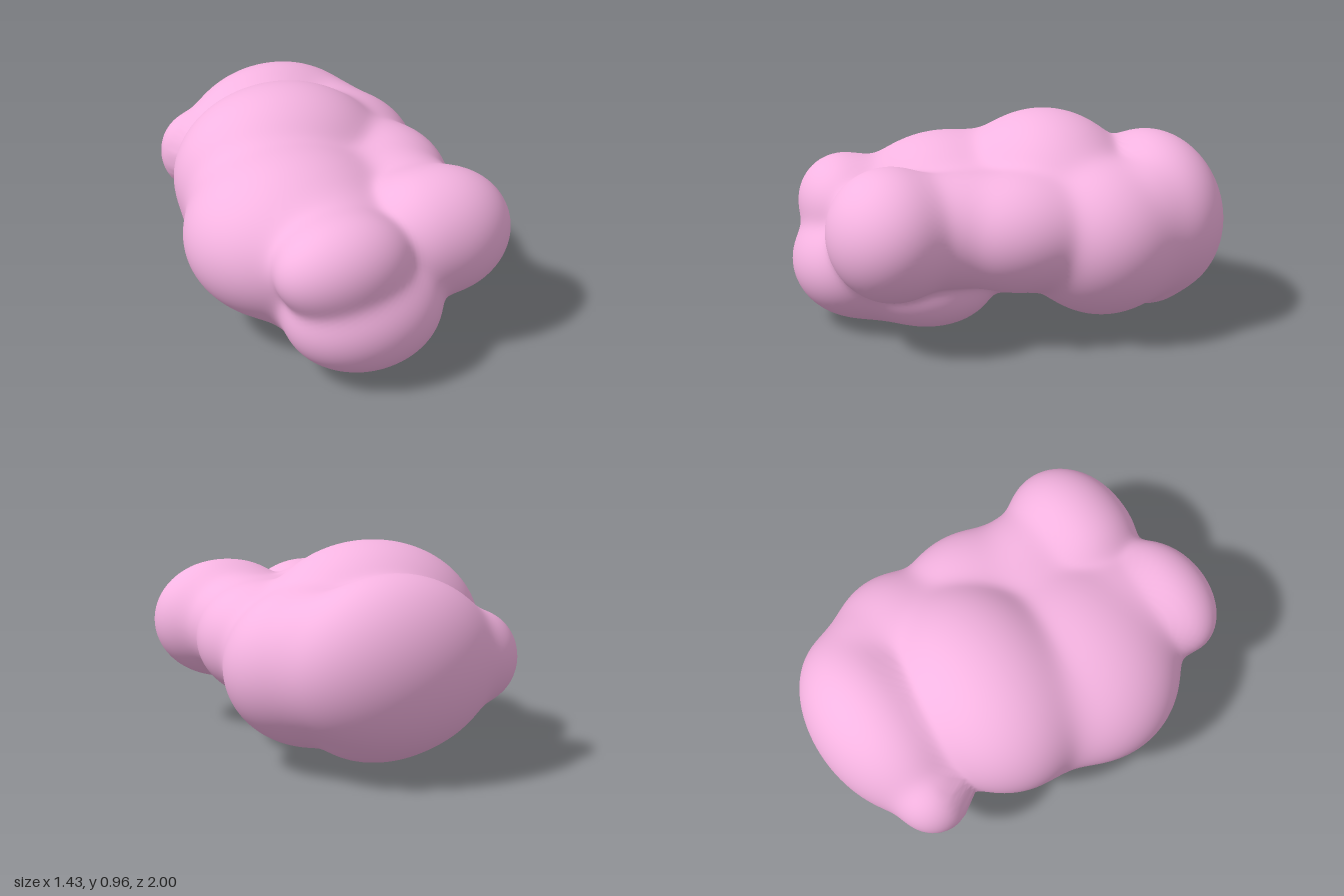
import * as THREE from 'three';
import { mergeVertices } from 'three/addons/utils/BufferGeometryUtils.js';

// Each lobe of the body: centre x, y, z, then radii x, y, z
const LOBES = {
  core: [0, 0.45, -0.1, 0.4, 0.32, 0.58],
  underside: [-0.17, 0.38, -0.12, 0.4, 0.255, 0.4],
  backLobe: [0.1, 0.49, -0.68, 0.485, 0.39, 0.32],
  backKnob: [-0.32, 0.49, -0.7, 0.18, 0.2, 0.17],
  backUnderRidge: [0.14, 0.21, -0.62, 0.26, 0.135, 0.17],
  backLeftFill: [0.35, 0.48, -0.55, 0.26, 0.3, 0.24],
  topLobe: [-0.07, 0.55, -0.21, 0.53, 0.42, 0.43],
  rightSideLobe: [-0.22, 0.47, 0.23, 0.5, 0.385, 0.47],
  rightSideBridge: [-0.25, 0.49, 0.0, 0.35, 0.34, 0.3],
  leftBackLobe: [0.3, 0.45, -0.36, 0.41, 0.355, 0.37],
  leftMiddleLobe: [0.35, 0.51, 0.02, 0.31, 0.265, 0.36],
  leftBridge: [0.3, 0.52, 0.32, 0.275, 0.245, 0.38],
  topValleyFill: [0.15, 0.54, 0.2, 0.33, 0.21, 0.35],
  frontLeftLobe: [0.31, 0.525, 0.6, 0.345, 0.29, 0.285],
  frontLeftFill: [0.19, 0.54, 0.58, 0.2, 0.235, 0.26],
  frontUpperLobe: [-0.225, 0.555, 0.73, 0.305, 0.22, 0.22],
  frontNeck: [-0.17, 0.53, 0.52, 0.32, 0.23, 0.25],
  frontLowerLobe: [-0.11, 0.3, 0.7, 0.36, 0.265, 0.3],
  belly: [-0.07, 0.26, 0.46, 0.36, 0.25, 0.4],
  bellySide: [0.12, 0.2, 0.38, 0.21, 0.17, 0.27],
};
const BLEND = 0.026;
const lobes = Object.values(LOBES);

// Approximate distance from a point to one ellipsoid
function lobeDistance(p, [cx, cy, cz, rx, ry, rz]) {
  const x = (p.x - cx) / rx, y = (p.y - cy) / ry, z = (p.z - cz) / rz;
  const k = Math.hypot(x, y, z);
  return k * (k - 1) / Math.max(Math.hypot(x / rx, y / ry, z / rz), 1e-6);
}

// Softly blended distance to all the lobes together
function bodyDistance(p) {
  const d = lobes.map((lobe) => lobeDistance(p, lobe));
  const nearest = Math.min(...d);
  const sum = d.reduce((s, v) => s + Math.exp((nearest - v) / BLEND), 0);
  return nearest - BLEND * Math.log(sum);
}

// Shrink a fine sphere inwards until every vertex meets the blended lobes
function createBodyGeometry() {
  let geometry = new THREE.IcosahedronGeometry(1, 48);
  geometry.deleteAttribute('uv');
  geometry.deleteAttribute('normal');
  geometry = mergeVertices(geometry, 1e-5);
  const position = geometry.attributes.position;
  const centre = new THREE.Vector3(0, 0.47, 0);
  const dir = new THREE.Vector3(), p = new THREE.Vector3();
  for (let i = 0; i < position.count; i++) {
    dir.fromBufferAttribute(position, i).normalize();
    let r = 1.3;
    for (let step = 0; step < 60; step++) {
      const d = bodyDistance(p.copy(centre).addScaledVector(dir, r));
      r -= d * 0.7;
      if (Math.abs(d) < 0.0005) break;
    }
    p.copy(centre).addScaledVector(dir, r);
    position.setXYZ(i, p.x, p.y, p.z);
  }

  // Centre the body and stand it on the ground
  geometry.computeBoundingBox();
  const box = geometry.boundingBox;
  const mid = box.getCenter(new THREE.Vector3());
  geometry.translate(-mid.x, -box.min.y, -mid.z);
  geometry.computeVertexNormals();
  return geometry;
}

export function createModel() {
  const group = new THREE.Group();
  group.name = 'lumpyBlob';
  const material = new THREE.MeshStandardMaterial({ color: 0xf6b4e2 });
  const body = new THREE.Mesh(createBodyGeometry(), material);
  body.name = 'blendedBody';
  group.add(body);
  return group;
}
